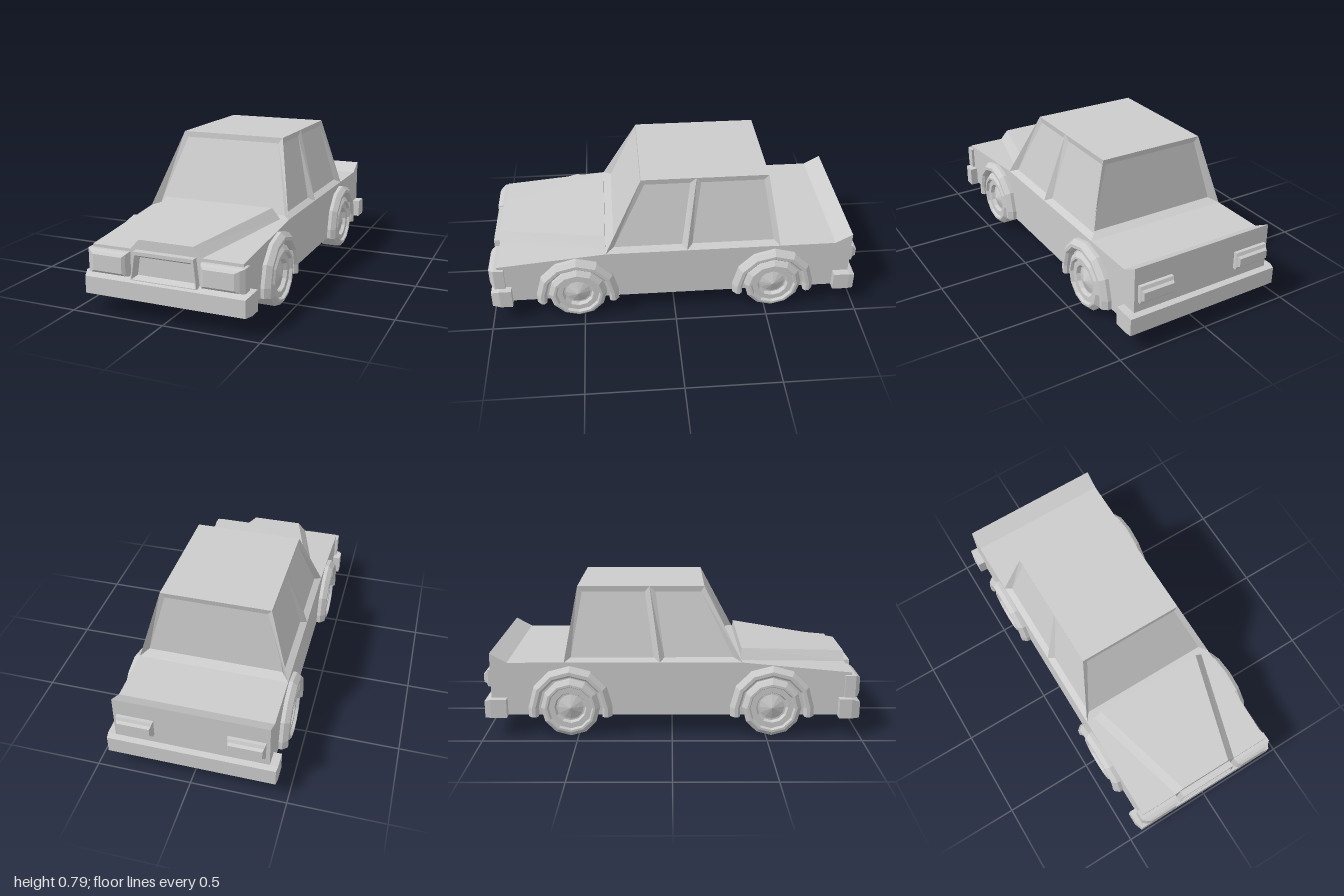
import * as THREE from 'three';

const material = new THREE.MeshStandardMaterial({ color: 0xcccccc, flatShading: true });

function mesh(name, geometry) {
  const m = new THREE.Mesh(geometry, material);
  m.name = name;
  return m;
}

// Flat-faced geometry from polygons, corners counter-clockwise from outside
function fromFaces(faces) {
  const pos = [];
  for (const f of faces)
    for (let i = 1; i < f.length - 1; i++) pos.push(...f[0], ...f[i], ...f[i + 1]);
  const g = new THREE.BufferGeometry();
  g.setAttribute('position', new THREE.Float32BufferAttribute(pos, 3));
  g.computeVertexNormals();
  return g;
}

// Closed solid through a series of cross-section loops
function loft(loops) {
  const n = loops[0].length;
  const [first, ...rest] = loops[0];
  const faces = [[first, ...rest.reverse()], loops[loops.length - 1]];
  for (let k = 0; k < loops.length - 1; k++)
    for (let i = 0; i < n; i++) {
      const j = (i + 1) % n;
      faces.push([loops[k][i], loops[k][j], loops[k + 1][j], loops[k + 1][i]]);
    }
  return fromFaces(faces);
}

const rect = (x0, x1, y0, y1, z) => [[x0, y0, z], [x1, y0, z], [x1, y1, z], [x0, y1, z]];
const trapezoid = (xb, xt, y0, y1, z) => [[-xb, y0, z], [xb, y0, z], [xt, y1, z], [-xt, y1, z]];

// Recessed pane with sloping borders; corners start bottom, bottom, top, top
function recessedPanel(corners, inset, bottomDepth, topDepth) {
  const c = corners.map((p) => new THREE.Vector3(...p));
  const normal = c[1].clone().sub(c[0]).cross(c[3].clone().sub(c[0])).normalize();
  const inner = c.map((p, i) => {
    const a = c[(i + 1) % 4].clone().sub(p).normalize();
    const b = c[(i + 3) % 4].clone().sub(p).normalize();
    const s = inset / Math.sin(a.angleTo(b));
    return p.clone().addScaledVector(a.add(b), s)
      .addScaledVector(normal, i < 2 ? -bottomDepth : -topDepth).toArray();
  });
  const faces = [inner];
  for (let i = 0; i < 4; i++) {
    const j = (i + 1) % 4;
    faces.push([corners[i], corners[j], inner[j], inner[i]]);
  }
  return fromFaces(faces);
}

function wheelGeometry() {
  const profile = [[0, 0.31], [0.135, 0.31], [0.157, 0.33], [0.157, 0.42], [0.134, 0.44], [0.122, 0.44],
    [0.115, 0.425], [0.085, 0.425], [0.077, 0.405], [0.068, 0.405], [0, 0.43]];
  const g = new THREE.LatheGeometry(profile.map(([r, x]) => new THREE.Vector2(r, x)), 12);
  return g.rotateZ(-Math.PI / 2).translate(0, 0.157, 0);
}

// Bevelled half ring with short straight legs
function archGeometry() {
  const section = [[0.17, 0.39], [0.222, 0.39], [0.222, 0.42], [0.2, 0.445], [0.182, 0.445], [0.17, 0.432]];
  const loops = [section.map(([r, x]) => [x, 0.11, r])];
  for (let i = 0; i <= 6; i++) {
    const t = (i * Math.PI) / 6;
    loops.push(section.map(([r, x]) => [x, 0.16 + r * Math.sin(t), r * Math.cos(t)]));
  }
  loops.push(section.map(([r, x]) => [x, 0.11, -r]));
  return loft(loops);
}

function createCabin() {
  const cabin = new THREE.Group();
  cabin.name = 'cabin';
  const y0 = 0.4, y1 = 0.787, xb = 0.4, xt = 0.29;
  const frontB = 0.37, frontT = 0.17, rearB = -0.57, rearT = -0.5, midB = -0.065, midT = -0.12;
  const add = (name, depth, c) => cabin.add(mesh(name, recessedPanel(c, 0.028, depth, 0.012)));
  add('windshield', 0.035, [[-xb, y0, frontB], [xb, y0, frontB], [xt, y1, frontT], [-xt, y1, frontT]]);
  add('rearWindow', 0.045, [[xb, y0, rearB], [-xb, y0, rearB], [-xt, y1, rearT], [xt, y1, rearT]]);
  // Side windows, split by a thin pillar
  for (const [label, fb, ft, rb, rt] of [['front', frontB, frontT, midB, midT], ['rear', midB, midT, rearB, rearT]]) {
    add(label + 'LeftWindow', 0.028, [[xb, y0, fb], [xb, y0, rb], [xt, y1, rt], [xt, y1, ft]]);
    add(label + 'RightWindow', 0.028, [[-xb, y0, rb], [-xb, y0, fb], [-xt, y1, ft], [-xt, y1, rt]]);
  }
  cabin.add(mesh('roof', fromFaces([[[-xt, y1, frontT], [xt, y1, frontT], [xt, y1, rearT], [-xt, y1, rearT]]])));
  return cabin;
}

function createGrille() {
  const grille = new THREE.Group();
  grille.name = 'grille';
  const outline = (xb, xt, y0, y1) => trapezoid(xb, xt, y0, y1, 0).map(([x, y]) => new THREE.Vector2(x, y));
  const shape = new THREE.Shape(outline(0.176, 0.16, 0.2, 0.345));
  shape.holes.push(new THREE.Path(outline(0.17, 0.15, 0.204, 0.327)));
  const frame = new THREE.ExtrudeGeometry(shape, { depth: 0.045, bevelEnabled: false });
  grille.add(mesh('grilleFrame', frame.translate(0, 0, 0.94)));
  grille.add(mesh('grillePanel', recessedPanel(trapezoid(0.17, 0.15, 0.204, 0.327, 0.985), 0.016, 0.03, 0.03)));
  return grille;
}

export function createModel() {
  const car = new THREE.Group();
  car.name = 'car';

  // Lower body from its side profile, with the raised tail lip
  const side = [[-0.87, 0.4], [0.37, 0.4], [0.95, 0.345], [0.95, 0.11], [-0.96, 0.11], [-0.96, 0.45]];
  const bodyLoop = (x) => side.map(([z, y]) => [x, y, z]);
  car.add(mesh('body', loft([bodyLoop(-0.4), bodyLoop(0.4)])));
  car.add(mesh('underbody', new THREE.BoxGeometry(0.44, 0.06, 1.47).translate(0, 0.1, 0.005)));
  car.add(mesh('hood', loft([
    trapezoid(0.19, 0.145, 0.345, 0.395, 0.95), trapezoid(0.355, 0.31, 0.4, 0.455, 0.37)].reverse())));
  car.add(createCabin(), createGrille());

  // Bumpers
  car.add(mesh('frontBumper', loft([
    rect(-0.442, 0.442, 0.102, 0.208, 0.885), rect(-0.442, 0.442, 0.102, 0.208, 0.95),
    rect(-0.425, 0.425, 0.102, 0.19, 0.995)])));
  car.add(mesh('rearBumper', loft([
    rect(-0.437, 0.437, 0.108, 0.2, -0.99), rect(-0.442, 0.442, 0.108, 0.208, -0.96),
    rect(-0.442, 0.442, 0.108, 0.208, -0.875)])));

  // Lamps on both sides
  for (const s of [1, -1]) {
    const span = (a, b, ...rest) => rect(s > 0 ? a : -b, s > 0 ? b : -a, ...rest);
    const label = s > 0 ? 'left' : 'right';
    car.add(mesh(label + 'Headlight', loft([
      span(0.192, 0.415, 0.21, 0.33, 0.915), span(0.192, 0.415, 0.21, 0.33, 0.97),
      span(0.2, 0.395, 0.215, 0.322, 0.988), span(0.215, 0.372, 0.228, 0.31, 1)])));
    car.add(mesh(label + 'TailLight', loft([
      span(0.2, 0.37, 0.285, 0.33, -1), span(0.195, 0.375, 0.28, 0.338, -0.985),
      span(0.19, 0.38, 0.262, 0.355, -0.978), span(0.19, 0.38, 0.262, 0.355, -0.95)])));
  }

  // Wheels with their arches
  const wheel = wheelGeometry(), arch = archGeometry();
  for (const [end, z] of [['front', 0.53], ['rear', -0.54]])
    for (const [label, turn] of [['Left', 0], ['Right', Math.PI]]) {
      const corner = new THREE.Group();
      corner.name = end + label + 'WheelAssembly';
      corner.add(mesh('wheel', wheel), mesh('wheelArch', arch));
      corner.position.z = z;
      corner.rotation.y = turn;
      car.add(corner);
    }
  return car;
}
